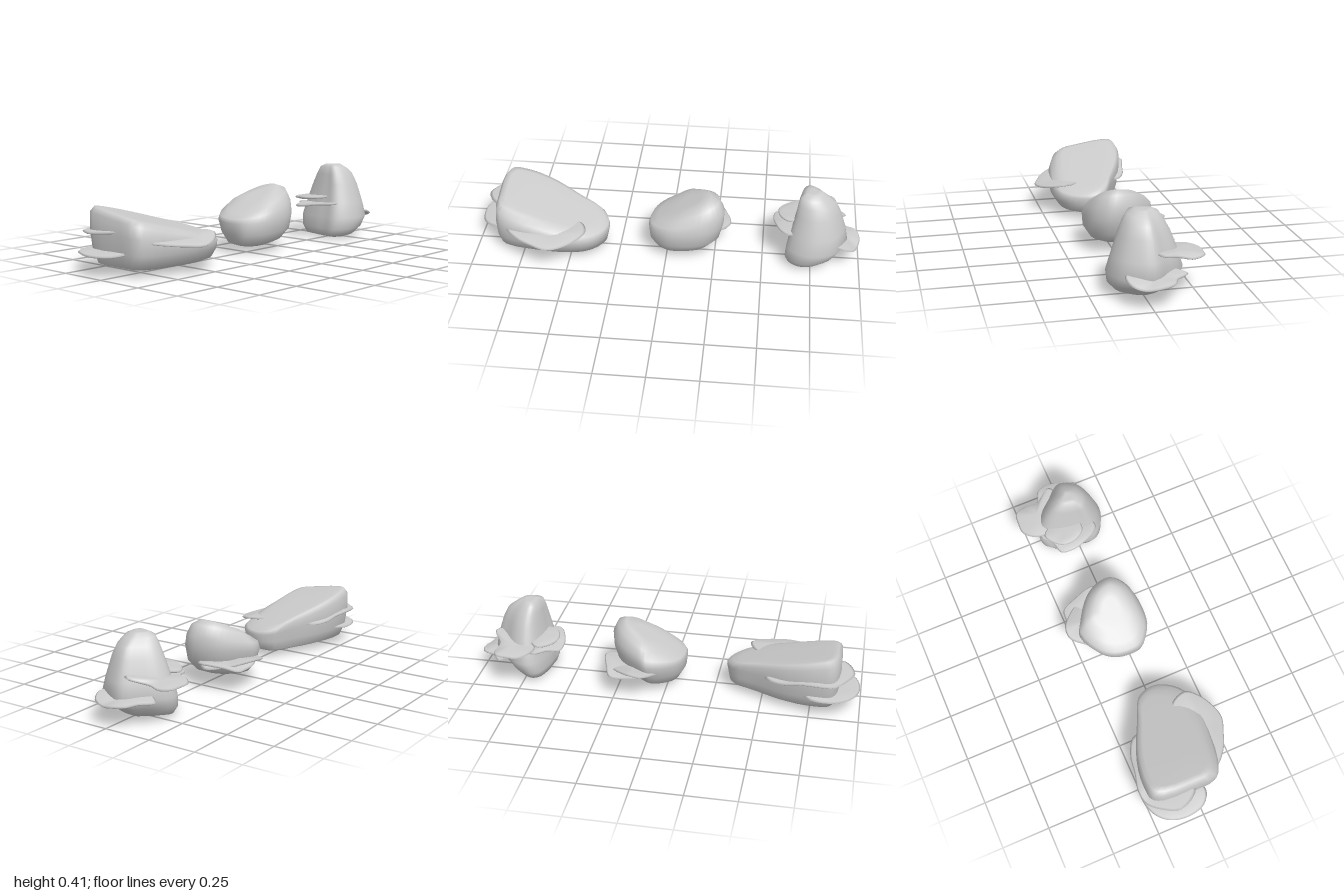
import * as THREE from 'three';
import { mergeVertices } from 'three/addons/utils/BufferGeometryUtils.js';

const material = new THREE.MeshStandardMaterial({ color: 0xcccccc });

// Skin a stack of closed rings, ordered bottom to top
function loft(rings, name) {
  const n = rings[0].length, index = [];
  for (let r = 0; r < rings.length - 1; r++) {
    for (let i = 0; i < n; i++) {
      const a = r * n + i, b = r * n + (i + 1) % n;
      index.push(a, a + n, b, b, a + n, b + n);
    }
  }
  let geo = new THREE.BufferGeometry().setFromPoints(rings.flat());
  geo.setIndex(index);
  geo = mergeVertices(geo, 1e-5);
  geo.computeVertexNormals();
  const mesh = new THREE.Mesh(geo, material);
  mesh.name = name;
  return mesh;
}

function smoothLoop(points, n) {
  const curve = new THREE.CatmullRomCurve3(points.map(p => new THREE.Vector3(...p)), true);
  return Array.from({ length: n }, (_, i) => curve.getPoint(i / n));
}

// Boulder: a plan outline [x, z] fitted to the box of each level
// level = [y, xMin, xMax, zMin, zMax, slopeX, slopeZ]
function boulder(outline, levels) {
  const loop = smoothLoop(outline.map(([x, z]) => [x, 0, z]), 40);
  const box = new THREE.Box3().setFromPoints(loop);
  const size = box.getSize(new THREE.Vector3());
  const ring = ([y, x0, x1, z0, z1, sx = 0, sz = 0], shrink = 1) => loop.map(p => {
    const dx = ((p.x - box.min.x) / size.x - 0.5) * (x1 - x0) * shrink;
    const dz = ((p.z - box.min.z) / size.z - 0.5) * (z1 - z0) * shrink;
    return new THREE.Vector3((x0 + x1) / 2 + dx, y + sx * dx + sz * dz, (z0 + z1) / 2 + dz);
  });
  const last = levels[levels.length - 1];
  return loft([
    ring(levels[0], 0), ring(levels[0], 0.5),
    ...levels.map(l => ring(l)),
    ring(last, 0.5), ring(last, 0),
  ], 'boulder');
}

// Bracket fungus: thin wavy plate with a rounded rim, from rim points [x, y, z]
function bracket(rim, thickness = 0.016) {
  const loop = smoothLoop(rim, 36);
  const centre = loop.reduce((s, p) => s.add(p), new THREE.Vector3()).divideScalar(loop.length);
  const section = [[0, -1], [0.5, -1], [0.93, -0.8], [1, 0], [0.93, 0.8], [0.5, 1], [0, 1]];
  return loft(section.map(([s, h]) => loop.map(p => {
    const q = centre.clone().lerp(p, s);
    q.y += h * thickness / 2;
    return q;
  })), 'bracketFungus');
}

function cluster(name, outline, levels, brackets) {
  const g = new THREE.Group();
  g.name = name;
  g.add(boulder(outline, levels), ...brackets.map(b => bracket(b)));
  return g;
}

export function createModel() {
  const model = new THREE.Group();
  model.name = 'mushroomRocks';

  // Long wedge-shaped rock
  model.add(cluster('longRock',
    [[-0.89, -0.18], [-0.86, -0.235], [-0.8, -0.245], [-0.72, -0.24], [-0.6, -0.205], [-0.45, -0.13],
      [-0.34, -0.075], [-0.305, 0], [-0.315, 0.06], [-0.36, 0.13], [-0.43, 0.175], [-0.55, 0.19],
      [-0.7, 0.175], [-0.82, 0.15], [-0.885, 0.11], [-0.895, 0]],
    [
      [0.032, -0.84, -0.36, -0.17, 0.12],
      [0.045, -0.875, -0.32, -0.205, 0.155, 0.01],
      [0.1, -0.89, -0.31, -0.23, 0.188, -0.03],
      [0.165, -0.896, -0.303, -0.243, 0.192, -0.11, -0.05],
      [0.21, -0.893, -0.31, -0.243, 0.175, -0.2, -0.13],
      [0.232, -0.875, -0.335, -0.225, 0.14, -0.23, -0.16],
      [0.238, -0.85, -0.37, -0.2, 0.11, -0.235, -0.16],
    ],
    [
      [[-0.83, 0.168, 0.13], [-0.65, 0.17, 0.02], [-0.45, 0.18, 0.06], [-0.41, 0.18, 0.15], [-0.45, 0.165, 0.21],
        [-0.53, 0.148, 0.26], [-0.6, 0.142, 0.277], [-0.68, 0.148, 0.25], [-0.77, 0.158, 0.205]],
      [[-0.965, 0.205, -0.12], [-0.93, 0.2, -0.2], [-0.87, 0.195, -0.265], [-0.8, 0.2, -0.278], [-0.7, 0.19, -0.255],
        [-0.6, 0.17, -0.235], [-0.52, 0.165, -0.18], [-0.55, 0.17, -0.08], [-0.75, 0.2, -0.05], [-0.9, 0.21, -0.01]],
      [[-0.995, 0.102, -0.09], [-0.975, 0.105, -0.18], [-0.92, 0.105, -0.24], [-0.83, 0.105, -0.268], [-0.74, 0.11, -0.25],
        [-0.7, 0.11, -0.15], [-0.8, 0.11, -0.02], [-0.9, 0.11, 0.05], [-0.97, 0.104, 0.01]],
    ]));

  // Squat middle rock with a slanted top
  model.add(cluster('roundRock',
    [[-0.095, 0], [-0.08, -0.1], [-0.03, -0.17], [0.08, -0.225], [0.14, -0.2], [0.24, -0.12], [0.285, -0.04],
      [0.29, 0.05], [0.22, 0.12], [0.1, 0.14], [0, 0.125], [-0.08, 0.06]],
    [
      [0.04, -0.02, 0.17, -0.12, 0.06, 0.06],
      [0.058, -0.06, 0.225, -0.16, 0.1, 0.08],
      [0.11, -0.09, 0.272, -0.2, 0.134, 0.06],
      [0.18, -0.097, 0.293, -0.225, 0.14, 0.1],
      [0.225, -0.088, 0.296, -0.215, 0.125, 0.22],
      [0.264, -0.05, 0.27, -0.18, 0.1, 0.38],
      [0.29, 0.01, 0.225, -0.13, 0.06, 0.48],
    ],
    [
      [[0, 0.14, -0.14], [0.04, 0.14, -0.21], [0.1, 0.152, -0.275], [0.16, 0.16, -0.275], [0.21, 0.15, -0.24],
        [0.27, 0.13, -0.17], [0.31, 0.112, -0.06], [0.25, 0.13, 0], [0.1, 0.15, -0.05]],
      [[0.06, 0.135, -0.18], [0.14, 0.13, -0.25], [0.2, 0.12, -0.25], [0.27, 0.12, -0.24], [0.3, 0.135, -0.17],
        [0.33, 0.145, -0.06], [0.315, 0.14, -0.025], [0.25, 0.13, 0], [0.12, 0.14, -0.06]],
    ]));

  // Tall conical rock
  model.add(cluster('tallRock',
    [[0.64, -0.06], [0.68, -0.17], [0.73, -0.2], [0.8, -0.175], [0.87, -0.1], [0.93, -0.03], [0.915, 0.05],
      [0.86, 0.13], [0.76, 0.165], [0.68, 0.145], [0.625, 0.09], [0.63, 0.02]],
    [
      [0.004, 0.68, 0.8, -0.09, 0.07, 0.02],
      [0.022, 0.63, 0.845, -0.16, 0.125, 0.06],
      [0.062, 0.616, 0.895, -0.19, 0.16, 0.05],
      [0.12, 0.621, 0.934, -0.2, 0.17],
      [0.2, 0.64, 0.918, -0.175, 0.147],
      [0.3, 0.66, 0.885, -0.135, 0.116],
      [0.355, 0.668, 0.857, -0.105, 0.093],
      [0.39, 0.68, 0.82, -0.08, 0.07, -0.1],
      [0.408, 0.705, 0.785, -0.05, 0.035],
    ],
    [
      [[0.8, 0.14, -0.08], [0.87, 0.125, -0.19], [0.92, 0.12, -0.13], [0.98, 0.118, -0.1], [1, 0.11, -0.03],
        [0.985, 0.1, 0.04], [0.96, 0.115, 0.095], [0.9, 0.137, 0.115], [0.82, 0.14, 0.06]],
      [[0.68, 0.205, -0.16], [0.69, 0.205, -0.23], [0.74, 0.2, -0.28], [0.8, 0.2, -0.282], [0.86, 0.2, -0.27],
        [0.88, 0.195, -0.21], [0.87, 0.205, -0.15], [0.92, 0.232, -0.06], [0.88, 0.235, -0.03], [0.75, 0.22, -0.06]],
      [[0.548, 0.185, -0.06], [0.56, 0.18, -0.13], [0.62, 0.185, -0.15], [0.69, 0.185, -0.2], [0.74, 0.18, -0.1],
        [0.72, 0.19, 0.05], [0.63, 0.2, 0.1], [0.59, 0.2, 0.07], [0.56, 0.195, 0]],
      [[0.575, 0.225, -0.1], [0.61, 0.22, -0.15], [0.67, 0.22, -0.18], [0.73, 0.225, -0.08], [0.7, 0.23, 0.01],
        [0.62, 0.232, 0.02], [0.58, 0.228, -0.03]],
    ]));

  return model;
}
